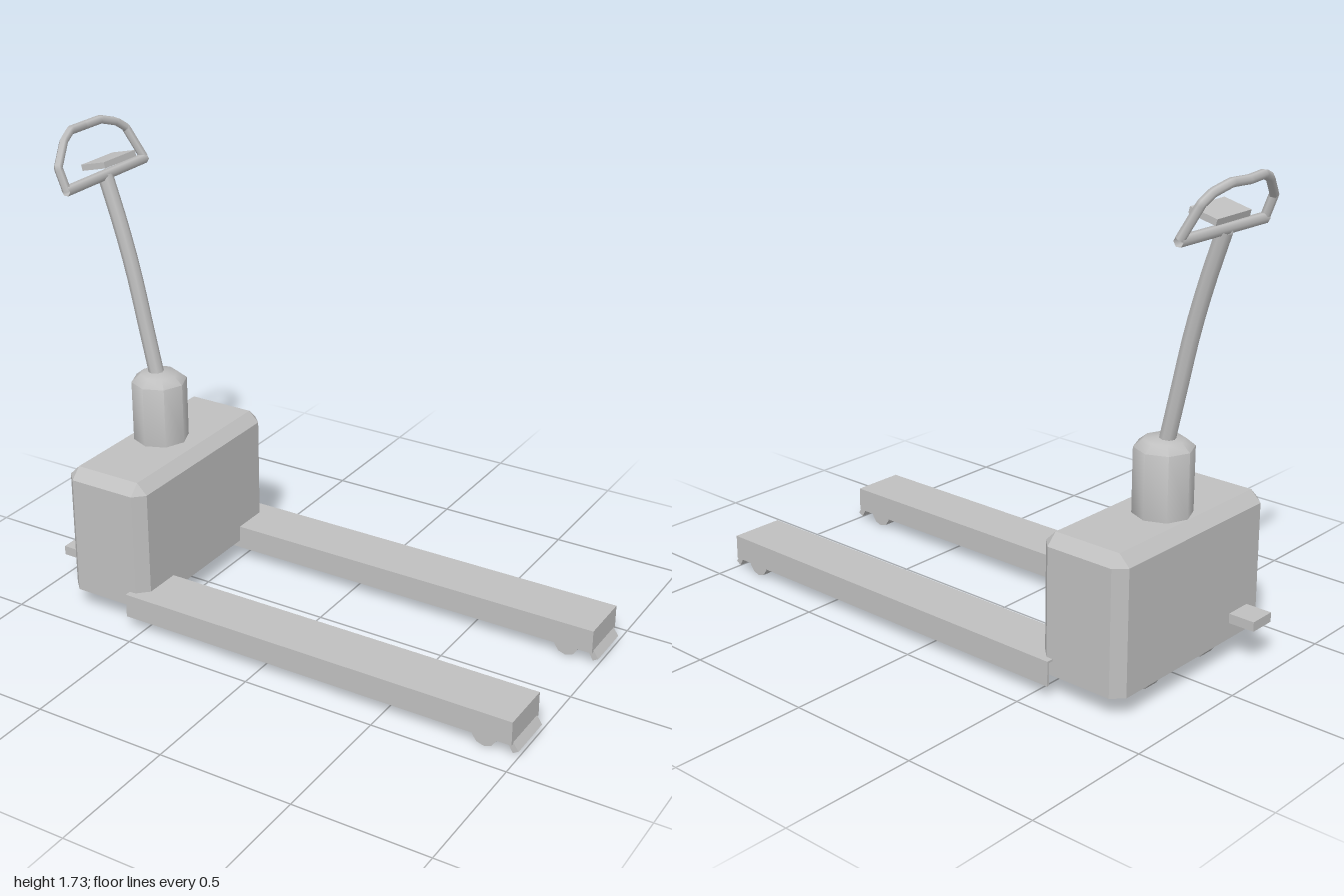
import * as THREE from 'three';
import { toCreasedNormals } from 'three/addons/utils/BufferGeometryUtils.js';

export function createModel() {
  const model = new THREE.Group();
  model.name = 'palletTruck';
  const grey = new THREE.MeshStandardMaterial({ color: 0xc0c0c0, side: THREE.DoubleSide });
  grey.name = 'light grey';

  function add(name, geometry, x = 0, y = 0, z = 0, parent = model) {
    const mesh = new THREE.Mesh(geometry, grey);
    mesh.name = name;
    mesh.position.set(x, y, z);
    parent.add(mesh);
    return mesh;
  }
  // box given by its minimum and maximum corners
  function block(name, a, b, parent = model) {
    const size = a.map((v, i) => b[i] - v);
    const mid = a.map((v, i) => (b[i] + v) / 2);
    return add(name, new THREE.BoxGeometry(...size), ...mid, parent);
  }
  const creased = (g, angle = 0.75) => toCreasedNormals(g, angle);
  const vec = (p) => new THREE.Vector3(...p);

  // Battery housing: chamfered corners and top edge, open below
  function housing(w, d, bottom, top, c) {
    const ring = (y, trim, inset) => {
      const pts = [];
      for (const [sx, sz, flip] of [[1, 1, 0], [1, -1, 1], [-1, -1, 0], [-1, 1, 1]]) {
        const X = w / 2 - inset, Z = d / 2 - inset;
        const pair = [[sx * (X - trim), y, sz * Z], [sx * X, y, sz * (Z - trim)]];
        pts.push(...(flip ? pair.reverse() : pair));
      }
      return pts;
    };
    const rings = [ring(bottom, c, 0), ring(top - c, c, 0), ring(top, 0, c)];
    const pos = [];
    const tri = (...ps) => ps.forEach((p) => pos.push(...p));
    for (let r = 0; r < 2; r++) {
      for (let i = 0; i < 8; i++) {
        const j = (i + 1) % 8, lo = rings[r], hi = rings[r + 1];
        tri(lo[i], lo[j], hi[j]);
        // corner facets close to a point on the top ring
        if (vec(hi[i]).distanceTo(vec(hi[j])) > 1e-6) tri(lo[i], hi[j], hi[i]);
      }
    }
    const t = rings[2];
    tri(t[0], t[2], t[4]);
    tri(t[0], t[4], t[6]);
    const g = new THREE.BufferGeometry();
    g.setAttribute('position', new THREE.Float32BufferAttribute(pos, 3));
    g.computeVertexNormals();
    return g;
  }
  add('housing', housing(0.34, 0.8, 0.08, 0.57, 0.04), -0.67, 0, 0);

  // Steering column
  const column = [[0.103, 0.57], [0.103, 0.8], [0.07, 0.827], [0, 0.835]]
    .map((p) => new THREE.Vector2(...p));
  add('steeringColumn', creased(new THREE.LatheGeometry(column, 8), 0.85), -0.695, 0, 0);

  // Curved tiller
  const tiller = new THREE.CatmullRomCurve3(
    [[-0.7, 0.8, 0], [-0.745, 1.0, 0], [-0.79, 1.2, 0], [-0.838, 1.37, 0], [-0.898, 1.55, 0]].map(vec));
  add('tiller', new THREE.TubeGeometry(tiller, 10, 0.028, 8));

  // Handle: D-shaped loop with a straight lower bar
  const loop = new THREE.CatmullRomCurve3([
    [-0.893, 1.55, 0.222], [-0.922, 1.63, 0.226], [-0.957, 1.7, 0.145], [-0.974, 1.722, 0.085],
    [-0.981, 1.719, 0], [-0.974, 1.722, -0.085], [-0.957, 1.7, -0.155], [-0.945, 1.672, -0.192],
    [-0.893, 1.56, -0.224],
  ].map(vec), false, 'catmullrom', 0);
  add('handleLoop', new THREE.TubeGeometry(loop, 64, 0.016, 6));
  const bar = new THREE.LineCurve3(vec([-0.893, 1.55, 0.228]), vec([-0.893, 1.555, -0.23]));
  add('handleBar', new THREE.TubeGeometry(bar, 1, 0.019, 6));

  // Control panel on the handle
  add('controlPanel', new THREE.BoxGeometry(0.105, 0.022, 0.18), -0.878, 1.606, 0).rotation.z = 0.24;

  // Foot pedal at the rear
  block('pedal', [-0.94, 0.14, 0.2], [-0.83, 0.175, 0.303]);

  // Drive wheels with raised hubs
  const tyre = [[0, -0.04], [0.09, -0.04], [0.105, -0.03], [0.105, 0.03], [0.09, 0.04], [0, 0.04]]
    .map((p) => new THREE.Vector2(...p));
  for (const s of [1, -1]) {
    const wheel = new THREE.Group();
    wheel.name = s > 0 ? 'leftWheel' : 'rightWheel';
    wheel.position.set(-0.72, 0.108, s * 0.155);
    wheel.rotation.x = Math.PI / 2;
    model.add(wheel);
    add('tyre', creased(new THREE.LatheGeometry(tyre, 10)), 0, 0, 0, wheel);
    add('hub', creased(new THREE.CylinderGeometry(0.045, 0.045, 0.09, 10)), 0, 0, 0, wheel);
  }

  // Forks: hollow channels with a load roller and a tilted toe plate
  const flap = new THREE.Shape(
    [[0.955, 0.06], [0.978, 0.06], [1.0, 0.027], [0.98, 0.015]].map((p) => new THREE.Vector2(...p)));
  for (const s of [1, -1]) {
    const fork = new THREE.Group();
    fork.name = s > 0 ? 'leftFork' : 'rightFork';
    fork.position.z = s * 0.3225;
    model.add(fork);
    const h = 0.1025, t = 0.008;
    block('forkTop', [-0.565, 0.14 - t, -h], [0.98, 0.14, h], fork);
    for (const e of [1, -1]) {
      const z0 = e * h, z1 = e * (h - t);
      block('forkSide', [-0.565, 0.05, Math.min(z0, z1)], [0.98, 0.14 - t, Math.max(z0, z1)], fork);
    }
    block('forkTip', [0.98 - t, 0.05, t - h], [0.98, 0.14 - t, h - t], fork);
    const roller = new THREE.CylinderGeometry(0.046, 0.046, 0.18, 10);
    add('roller', creased(roller), 0.875, 0.051, 0, fork).rotation.x = Math.PI / 2;
    const toe = new THREE.ExtrudeGeometry(flap, { depth: 0.18, bevelEnabled: false });
    add('toePlate', toe, 0, 0, -0.09, fork);
  }
  return model;
}
